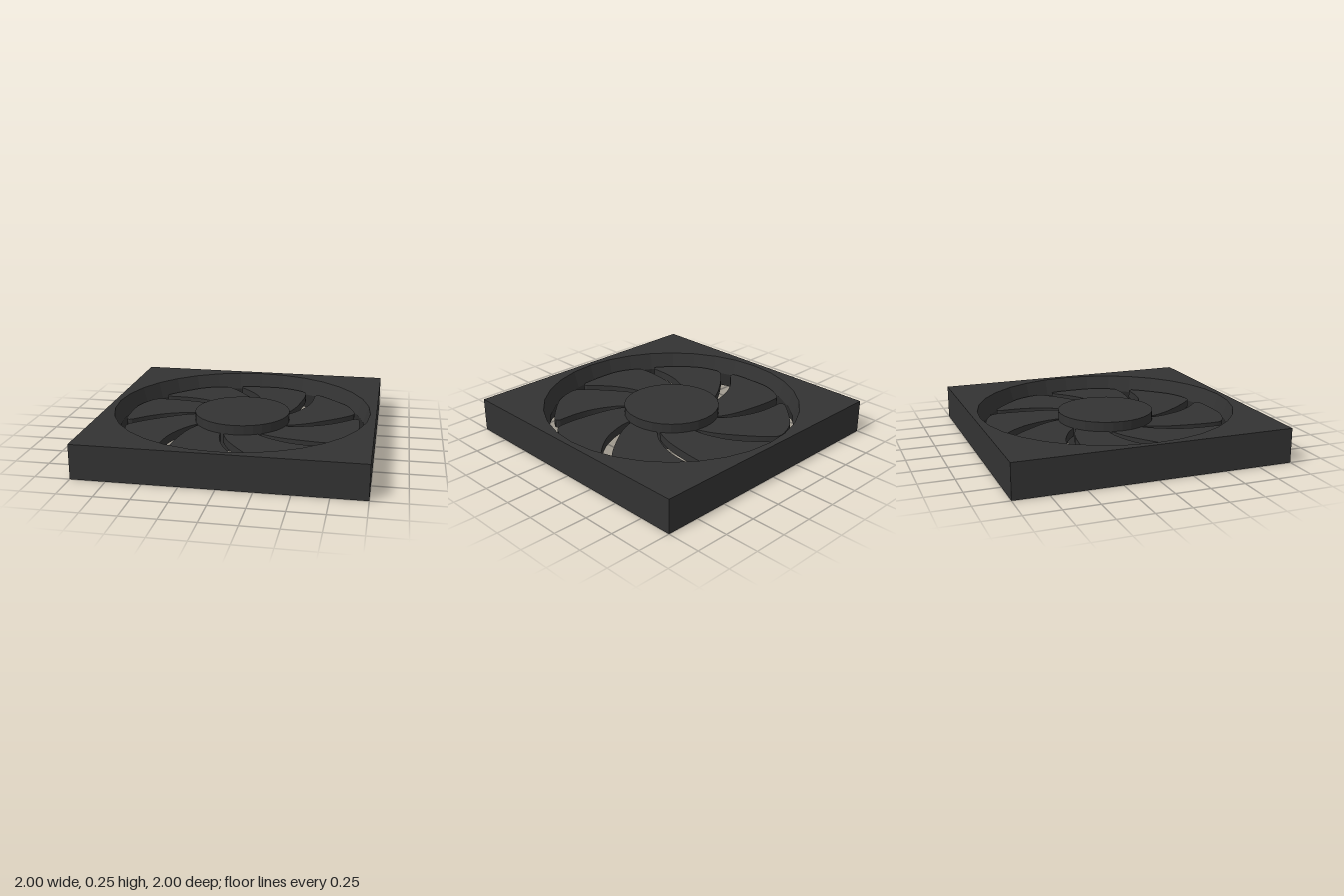
import * as THREE from 'three';

const HEIGHT = 0.25;
const MID = HEIGHT / 2;
const BORE = 0.955;
const WAIST = 0.915;
const BLADES = 8;

const material = new THREE.MeshStandardMaterial({ color: 0x333333, flatShading: true });
const pts = (list) => list.map(([x, y]) => new THREE.Vector2(x, y));

// Extrude a plan outline upwards, centred on the mid height
function slab(shape, depth, options = {}) {
  const geometry = new THREE.ExtrudeGeometry(shape, { depth, bevelEnabled: false, ...options });
  return geometry.rotateX(-Math.PI / 2).translate(0, MID - depth / 2, 0);
}

// Square housing whose round bore narrows to a waist at mid height
function frameGeometry() {
  const shape = new THREE.Shape(pts([[-1, -1], [1, -1], [1, 1], [-1, 1]]));
  const ring = [];
  for (let i = 0; i < 32; i++) {
    const a = -i / 32 * Math.PI * 2;
    ring.push([BORE * Math.cos(a), BORE * Math.sin(a)]);
  }
  shape.holes.push(new THREE.Path(pts(ring)));
  const geometry = slab(shape, HEIGHT, { steps: 2 });
  const p = geometry.attributes.position;
  for (let i = 0; i < p.count; i++) {
    const r = Math.hypot(p.getX(i), p.getZ(i));
    if (Math.abs(p.getY(i) - MID) < 0.01 && r < 0.99) {
      p.setX(i, p.getX(i) * WAIST / r);
      p.setZ(i, p.getZ(i) * WAIST / r);
    }
  }
  geometry.computeVertexNormals();
  return geometry;
}

// Swept blade: curved edges with rounded tip corners
function bladeGeometry() {
  const shape = new THREE.Shape();
  shape.moveTo(0.26, 0.14);
  shape.splineThru(pts([[0.30, 0.19], [0.35, 0.31], [0.38, 0.46], [0.40, 0.63], [0.40, 0.74]]));
  shape.quadraticCurveTo(0.40, 0.78, 0.35, 0.81);
  shape.quadraticCurveTo(0.25, 0.87, 0.16, 0.878);
  shape.quadraticCurveTo(0.0, 0.885, -0.12, 0.872);
  shape.quadraticCurveTo(-0.17, 0.865, -0.15, 0.825);
  shape.splineThru(pts([[-0.05, 0.72], [0.03, 0.60], [0.085, 0.45], [0.10, 0.345], [0.10, 0.29]]));
  shape.closePath();
  return slab(shape, 0.06, { curveSegments: 4 });
}

export function createModel() {
  const model = new THREE.Group();
  model.name = 'coolingFan';
  const add = (name, geometry, parent = model) => {
    const mesh = new THREE.Mesh(geometry, material);
    mesh.name = name;
    parent.add(mesh);
    return mesh;
  };

  add('frame', frameGeometry());

  // Rotor: hub and ring of blades
  const rotor = new THREE.Group();
  rotor.name = 'rotor';
  model.add(rotor);
  add('hub', new THREE.CylinderGeometry(0.355, 0.355, 0.2, 32).translate(0, MID, 0), rotor);
  const blade = bladeGeometry();
  for (let i = 0; i < BLADES; i++) {
    add('blade', blade, rotor).rotation.y = i / BLADES * Math.PI * 2;
  }
  return model;
}
